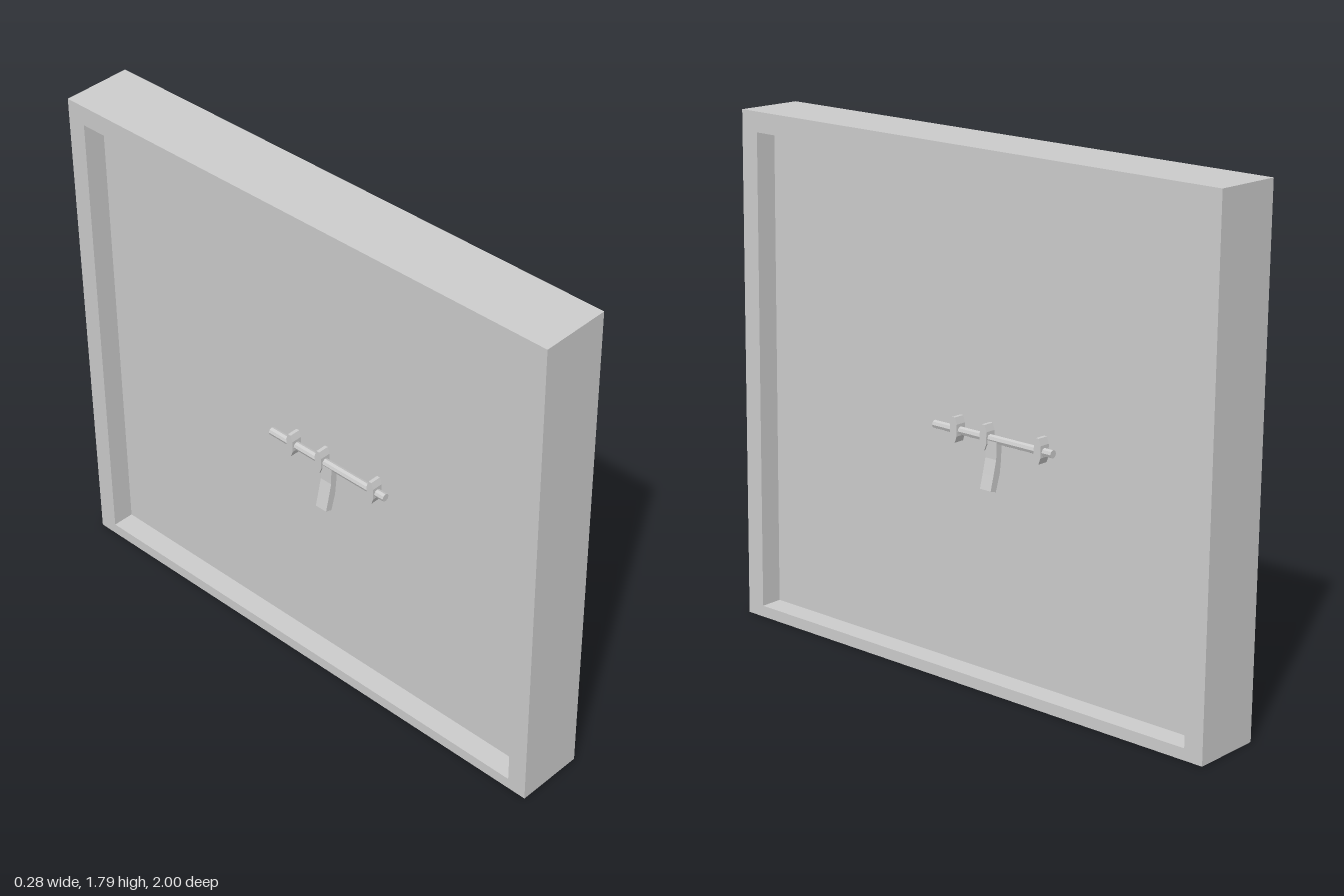
import * as THREE from 'three';

// Slight lean of the whole panel: x slides with height, the top edge tips
function lean(geometry) {
  const p = geometry.attributes.position;
  for (let i = 0; i < p.count; i++) {
    const x = p.getX(i), y = p.getY(i);
    p.setXY(i, x - 0.0162 * (y - 0.8925), y + 0.011 * x * y);
  }
  geometry.computeVertexNormals();
  return geometry;
}

// Polygon drawn in (u = -z, y), extruded from x0 to x1
function slab(shape, x0, x1) {
  const g = new THREE.ExtrudeGeometry(shape, { depth: x1 - x0, bevelEnabled: false });
  return g.translate(0, 0, x0).rotateY(Math.PI / 2);
}

const poly = (pts) => new THREE.Shape(pts.map(([a, b]) => new THREE.Vector2(a, b)));
const rect = (u0, y0, u1, y1) => poly([[u0, y0], [u1, y0], [u1, y1], [u0, y1]]);

export function createModel() {
  const group = new THREE.Group();
  const grey = new THREE.MeshStandardMaterial({ color: 0xcccccc });
  grey.name = 'plain grey';

  const add = (parent, name, geometry) => {
    const mesh = new THREE.Mesh(lean(geometry), grey);
    mesh.name = name;
    parent.add(mesh);
  };

  // Outer frame with the opening cut through
  const outline = rect(-1, 0, 1, 1.785);
  outline.holes.push(rect(-0.93, 0.04, 0.93, 1.715));
  add(group, 'frame', slab(outline, -0.125, 0.125));

  // Recessed centre panel
  add(group, 'panel', new THREE.BoxGeometry(0.09, 1.675, 1.86).translate(0, 0.8775, 0));

  // A sliding bolt on each face, the second turned half way round
  for (const [side, turn] of [['left', 0], ['right', Math.PI]]) {
    const bolt = new THREE.Group();
    bolt.name = side + 'Bolt';
    group.add(bolt);

    // Sliding bar
    const bar = new THREE.CylinderGeometry(0.014, 0.014, 0.505, 8).toNonIndexed();
    add(bolt, 'boltBar', bar.rotateX(Math.PI / 2).translate(0.066, 0.842, -0.0835).rotateY(turn));

    // Pointed keeper plates holding the bar
    for (const u of [-0.07, 0.058, 0.286]) {
      const keeper = poly([
        [u - 0.006, 0.803], [u + 0.006, 0.803], [u + 0.014, 0.825], [u + 0.014, 0.865],
        [u + 0.006, 0.888], [u - 0.006, 0.888], [u - 0.014, 0.865], [u - 0.014, 0.825],
      ]);
      add(bolt, 'boltKeeper', slab(keeper, 0.04, 0.085).rotateY(turn));
    }

    // Hanging grip, curving outwards toward its tip
    const profile = poly([
      [0.055, 0.845], [0.056, 0.78], [0.062, 0.73], [0.08, 0.672],
      [0.105, 0.68], [0.092, 0.73], [0.08, 0.78], [0.078, 0.845],
    ]);
    const grip = new THREE.ExtrudeGeometry(profile, { depth: 0.046, bevelEnabled: false });
    add(bolt, 'boltGrip', grip.translate(0, 0, -0.111).rotateY(turn));
  }

  return group;
}
